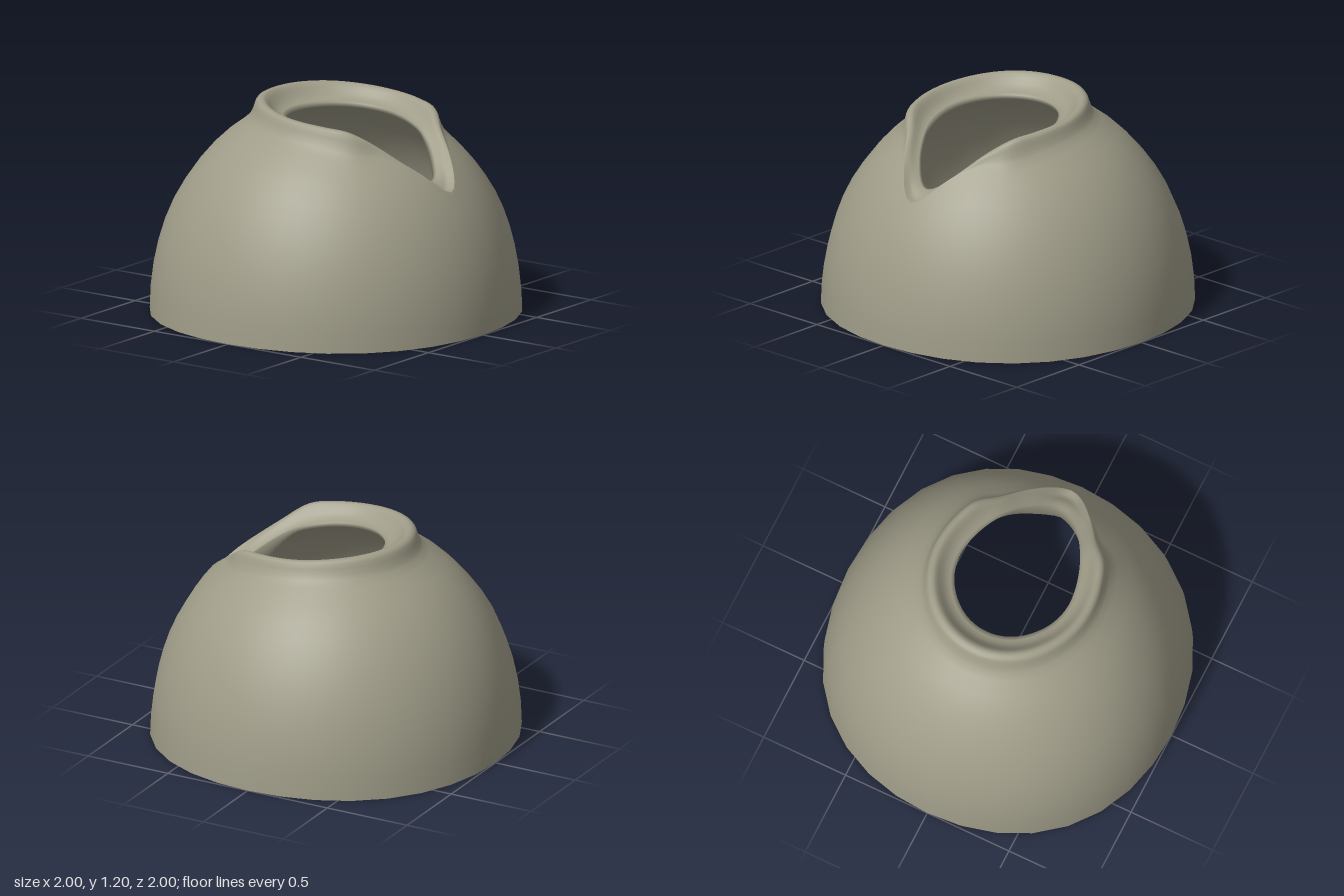
import * as THREE from 'three';

const SIDES = 32, COLS = 128, RINGS = 10, STEP = (Math.PI * 2) / SIDES;

// Smooth function of t in 0..1 (front to back) through evenly spaced values
function along(values) {
  const curve = new THREE.SplineCurve(values.map((v, i) => new THREE.Vector2(i, v)));
  return (t) => curve.getPoint(t).y;
}

// Teardrop opening, described every 15 degrees from the front tip to the back
const holeRadius = along([0.66, 0.565, 0.475, 0.412, 0.37, 0.343, 0.32, 0.3, 0.284, 0.274, 0.269, 0.266, 0.265]);
const lipRadius = along([0.81, 0.675, 0.585, 0.565, 0.525, 0.495, 0.475, 0.46, 0.452, 0.45, 0.45, 0.45, 0.45]);
const lipLift = along([0, 0, 0.042, 0.105, 0.098, 0.09, 0.088, 0.09, 0.095, 0.101, 0.105, 0.107, 0.107]);

const outerY = (r) => 1.19 * Math.sqrt(Math.max(0, 1 - r ** 2.3));
const innerY = (r) => 1.125 * Math.sqrt(Math.max(0, 1 - (r / 0.938) ** 2.3));

// Plan of the base: many-sided and slightly squared
function outline(a) {
  const nearest = Math.floor(a / STEP + 1e-6) * STEP;
  const bulge = (b) => 1 + 0.027 * Math.sin(2 * b) ** 2;
  const f = (a - nearest) / STEP;
  const chord = Math.cos(STEP / 2) / Math.cos(a - nearest - STEP / 2);
  return chord * THREE.MathUtils.lerp(bulge(nearest), bulge(nearest + STEP), f);
}

// Cross-section at t: up the outside, over the lip, down the inside
function section(t) {
  const rounded = Math.min(1, Math.hypot(t, 0.02));
  const hole = holeRadius(rounded), lip = lipRadius(rounded), lift = lipLift(t);
  const front = 1 - THREE.MathUtils.smoothstep(t, 0.02, 0.2);
  const w = lip - hole, base = outerY(lip), crest = base + lift;
  const edge = innerY(hole) + 0.01 - 0.045 * front;
  const blend = Math.min(0.065, 0.01 + lift * 0.6);
  const pts = [];
  const top = Math.acos(lip + blend);
  for (let k = 0; k <= RINGS; k++) {
    const r = Math.cos((top * k) / RINGS);
    pts.push([r, outerY(r)]);
  }
  // flare from the dome into the lip
  for (const [s, h] of [[0.42, 0.12], [0.18, 0.3]]) {
    const r = lip + s * blend;
    pts.push([r, outerY(r) + lift * h]);
  }
  // rolled lip
  for (const [s, h] of [[0, 0.55], [0.04, 0.78], [0.1, 0.92], [0.18, 0.985], [0.27, 1]]) {
    pts.push([lip - w * s, base + lift * h]);
  }
  // steep drop inside the lip, easing out towards the hole
  for (const [s, m] of [[0.36, 0.08], [0.46, 0.3], [0.58, 0.6], [0.72, 0.83], [0.87, 0.95], [1, 1]]) {
    pts.push([lip - w * s, THREE.MathUtils.lerp(crest, edge, m)]);
  }
  // edge thickness, deepening to a hem that hangs under the front tip
  const drop = edge - 0.025 - 0.115 * front;
  pts.push([hole + 0.006, drop], [hole + 0.02 + 0.04 * front, drop]);
  // inner wall
  const rise = Math.acos((hole + 0.045 + 0.045 * front) / 0.938);
  for (let k = 0; k <= RINGS; k++) {
    const r = 0.938 * Math.cos(rise * (1 - k / RINGS));
    pts.push([r, innerY(r)]);
  }
  return pts;
}

function shellGeometry() {
  const pos = [], index = [];
  let n = 0;
  for (let j = 0; j < COLS; j++) {
    const a = (j / COLS) * Math.PI * 2;
    const pts = section(1 - Math.abs(1 - (2 * j) / COLS));
    n = pts.length;
    for (const [r, y] of pts) pos.push(r * Math.sin(a), y, r * Math.cos(a));
    const next = ((j + 1) % COLS) * n;
    for (let k = 0; k < n - 1; k++) {
      const p = j * n + k, q = next + k;
      index.push(p, q, q + 1, p, q + 1, p + 1);
    }
  }
  const geo = new THREE.BufferGeometry();
  geo.setAttribute('position', new THREE.Float32BufferAttribute(pos, 3));
  geo.setIndex(index);
  geo.computeVertexNormals();

  // Keep the smooth normals, but give the lower dome its many-sided outline
  const p = geo.attributes.position;
  for (let i = 0; i < p.count; i++) {
    const a = (Math.floor(i / n) / COLS) * Math.PI * 2;
    const f = THREE.MathUtils.lerp(outline(a), 1, THREE.MathUtils.smoothstep(p.getY(i), 0.55, 1.05));
    p.setX(i, p.getX(i) * f);
    p.setZ(i, p.getZ(i) * f);
  }
  return geo;
}

// Flat underside of the wall, following the same outline
function baseGeometry() {
  const geo = new THREE.RingGeometry(0.938, 1, SIDES);
  const p = geo.attributes.position;
  for (let i = 0; i < p.count; i++) {
    const f = outline((i % (SIDES + 1)) * STEP);
    p.setXY(i, p.getX(i) * f, p.getY(i) * f);
  }
  return geo.rotateX(Math.PI / 2);
}

export function createModel() {
  const group = new THREE.Group();
  group.name = 'domeWithSpout';
  const material = new THREE.MeshStandardMaterial({ color: 0x9f9c88 });

  const shell = new THREE.Mesh(shellGeometry(), material);
  shell.name = 'domeShell';
  group.add(shell);

  const foot = new THREE.Mesh(baseGeometry(), material);
  foot.name = 'baseRim';
  group.add(foot);
  return group;
}
